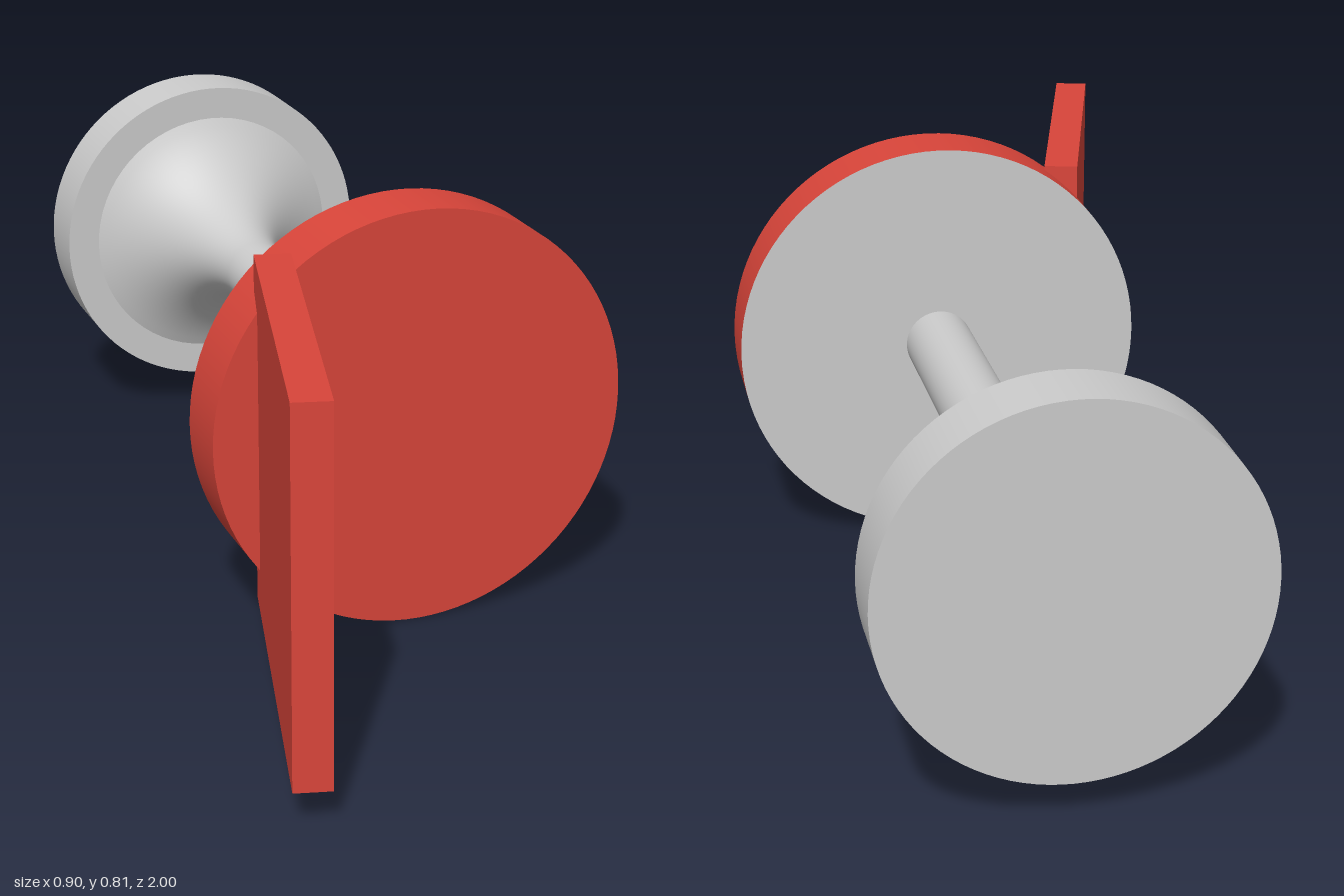
import * as THREE from 'three';

const AXIS_X = 0.04, AXIS_Y = 0.4075;

export function createModel() {
  const model = new THREE.Group();
  const grey = new THREE.MeshStandardMaterial({ color: 0xcccccc });
  const red = new THREE.MeshStandardMaterial({ color: 0xd9453a });

  // Adds a round part whose own y axis lies along the model's z axis
  function addRound(name, geometry, material, z = 0) {
    geometry.rotateX(Math.PI / 2);
    const mesh = new THREE.Mesh(geometry, material);
    mesh.name = name;
    mesh.position.set(AXIS_X, AXIS_Y, z);
    model.add(mesh);
  }

  // Front disc: red rim and front face, plain back face
  addRound('frontDisc', new THREE.CylinderGeometry(0.4075, 0.4075, 0.135, 96), [red, red, grey], 0.2885);

  // Rear base disc
  addRound('baseDisc', new THREE.CylinderGeometry(0.3385, 0.3385, 0.135, 96), grey, -0.9325);

  // Stem with a concave flare, a circular arc that runs into the base
  const stemR = 0.0675, arcR = 0.331, flareEnd = -0.865, flareStart = -0.56;
  const profile = [];
  const sweep = Math.asin((flareStart - flareEnd) / arcR);
  for (let i = 0; i <= 20; i++) {
    const a = sweep * (1 - i / 20);
    profile.push(new THREE.Vector2(stemR + arcR * (1 - Math.cos(a)), flareStart - arcR * Math.sin(a)));
  }
  profile.push(new THREE.Vector2(stemR, 0.222));
  addRound('flaredStem', new THREE.LatheGeometry(profile, 64), grey);

  // Slanted side plate, slotted at its back edge where the disc passes through
  const length = 0.716, thickness = 0.0675, half = 0.3385, slot = 0.23, slotDepth = 0.0745;
  const outline = new THREE.Shape([
    [0, -half], [length, -half], [length, half], [0, half],
    [0, slot], [slotDepth, slot], [slotDepth, -slot], [0, -slot],
  ].map(([u, v]) => new THREE.Vector2(u, v)));
  const plate = new THREE.Mesh(
    new THREE.ExtrudeGeometry(outline, { depth: thickness, bevelEnabled: false }), red);
  plate.name = 'sidePlate';
  plate.position.set(-0.198, AXIS_Y, 0.308);
  plate.rotation.y = THREE.MathUtils.degToRad(-105);
  model.add(plate);

  return model;
}
